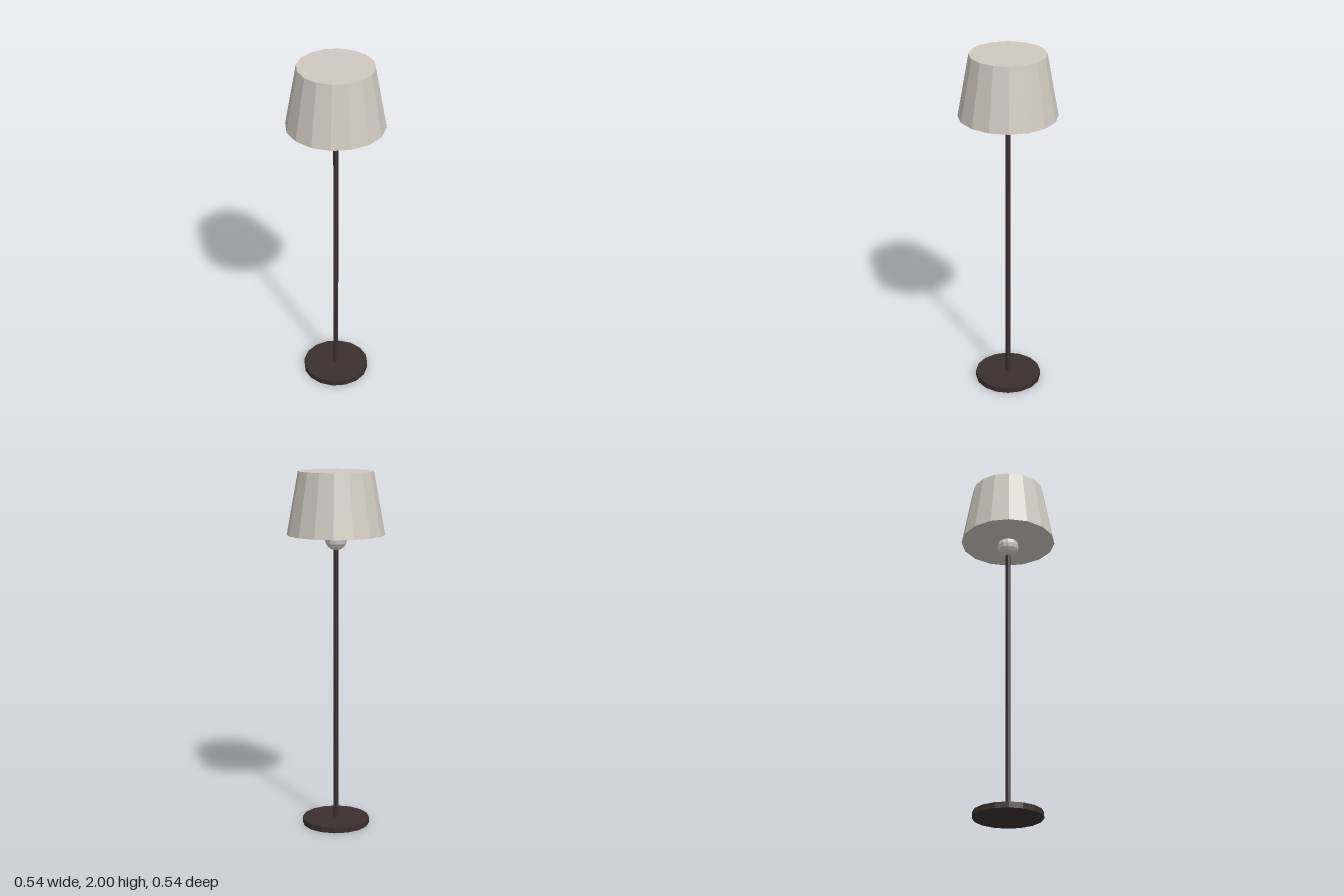
import * as THREE from 'three';

export function createModel() {
  const lamp = new THREE.Group();
  lamp.name = 'floorLamp';

  const material = (name, color) => {
    const m = new THREE.MeshStandardMaterial({ color, flatShading: true });
    m.name = name;
    return m;
  };
  const darkMetal = material('dark metal', 0x3a2f2f);
  const fabric = material('shade fabric', 0xcfc9c0);
  const glass = material('bulb glass', 0xd3cbc6);

  const add = (name, geometry, mat, y) => {
    const mesh = new THREE.Mesh(geometry, mat);
    mesh.name = name;
    mesh.position.y = y;
    lamp.add(mesh);
  };
  // Faceted upright drum or cone standing between two heights
  const drum = (name, topRadius, bottomRadius, y0, y1, sides, mat) =>
    add(name, new THREE.CylinderGeometry(topRadius, bottomRadius, y1 - y0, sides), mat, (y0 + y1) / 2);

  // Foot and pole
  drum('base', 0.19, 0.19, 0, 0.032, 16, darkMetal);
  drum('pole', 0.014, 0.014, 0.03, 1.6, 8, darkMetal);

  // Bulb half hidden under the closed, tapered shade
  add('bulb', new THREE.SphereGeometry(0.061, 12, 8), glass, 1.63);
  drum('shade', 0.207, 0.27, 1.655, 2, 16, fabric);

  return lamp;
}
